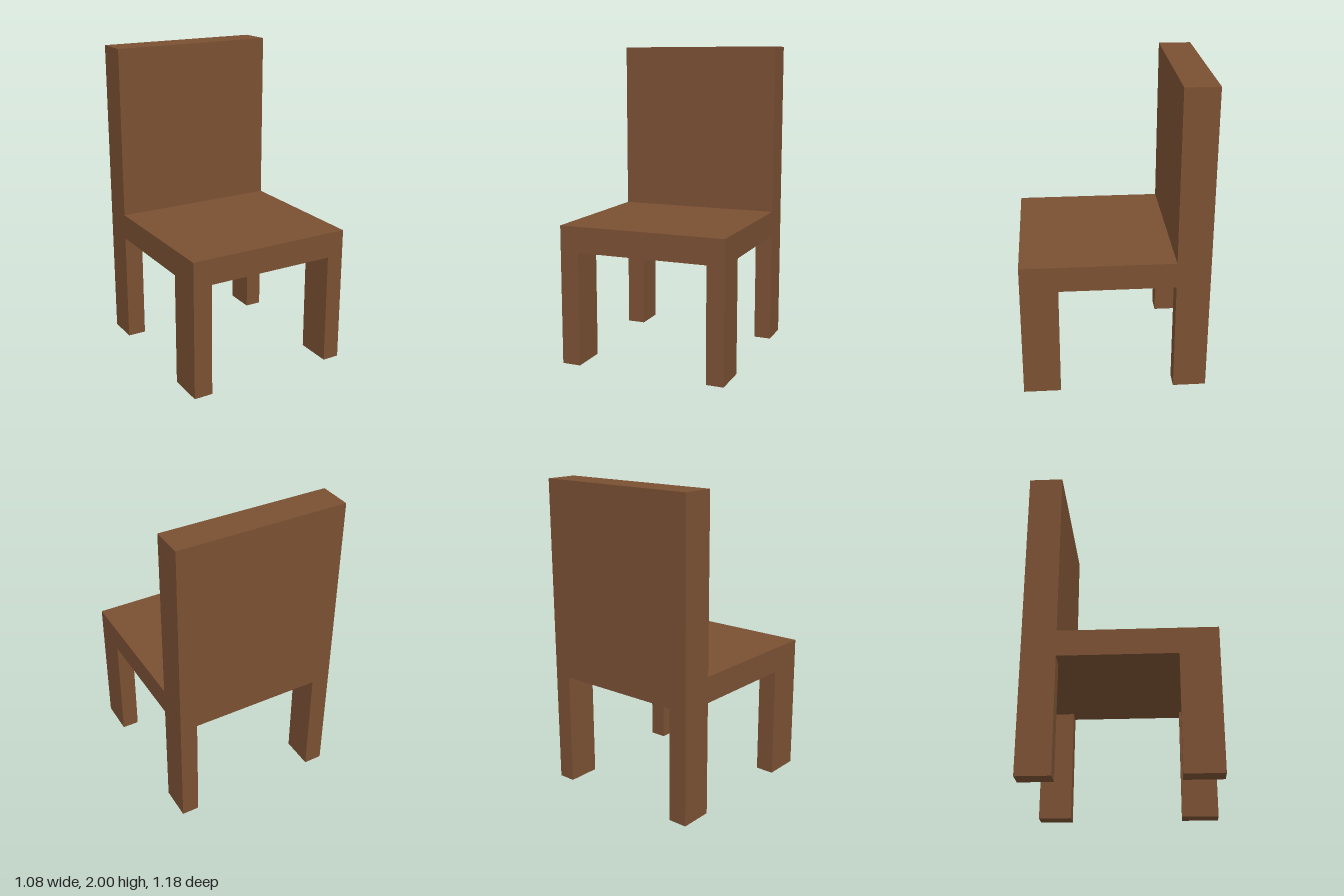
import * as THREE from 'three';

export function createModel() {
  const chair = new THREE.Group();
  chair.name = 'chair';
  const wood = new THREE.MeshStandardMaterial({ color: 0x7a5033 });
  wood.name = 'brown wood';

  // Box given by its extents along each axis
  const addBox = (name, [x0, x1], [y0, y1], [z0, z1]) => {
    const mesh = new THREE.Mesh(new THREE.BoxGeometry(x1 - x0, y1 - y0, z1 - z0), wood);
    mesh.position.set((x0 + x1) / 2, (y0 + y1) / 2, (z0 + z1) / 2);
    mesh.name = name;
    chair.add(mesh);
  };

  const width = [-0.542, 0.542];
  const seatBottom = 0.73, seatTop = 0.895;
  const frontZ = [0.352, 0.59], backZ = [-0.59, -0.378];

  // Seat slab and upright backrest
  addBox('seat', width, [seatBottom, seatTop], [backZ[1], frontZ[1]]);
  addBox('backrest', width, [seatBottom, 2], backZ);

  // Four legs, flush with the outer sides
  const sides = { left: [0.43, width[1]], right: [width[0], -0.42] };
  for (const [side, x] of Object.entries(sides)) {
    addBox(`${side}FrontLeg`, x, [0, seatBottom], frontZ);
    addBox(`${side}BackLeg`, x, [0, seatBottom], backZ);
  }
  return chair;
}
